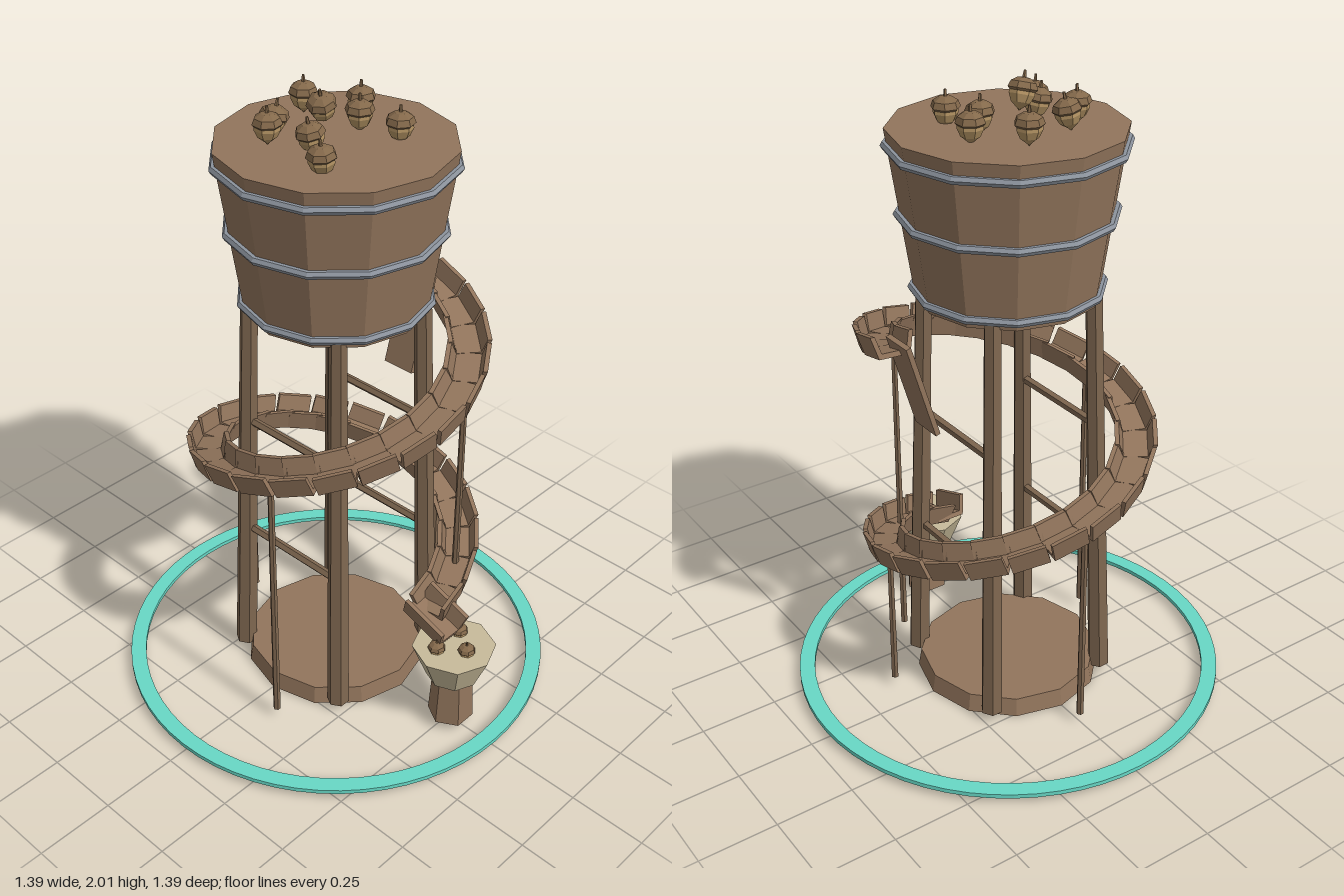
import * as THREE from 'three';

const mat = (color, smooth) => new THREE.MeshStandardMaterial({ color, flatShading: !smooth });
const wood = mat(0x92755c);
const darkWood = mat(0x7f6750);
const steel = mat(0x8d949e);
const stone = mat(0xc8bb9a);
const nutMat = mat(0xb39363);
const capMat = mat(0x84694b);
const teal = mat(0x68d8c6, true);

export function createModel() {
  const model = new THREE.Group();

  const add = (name, geo, material, x = 0, y = 0, z = 0, parent = model) => {
    const mesh = new THREE.Mesh(geo, material);
    mesh.name = name;
    mesh.position.set(x, y, z);
    parent.add(mesh);
    return mesh;
  };

  // Tapered bar between two points
  const strut = (name, a, b, rA, rB, sides, material) => {
    const from = new THREE.Vector3(...a), to = new THREE.Vector3(...b);
    const dir = to.clone().sub(from);
    const mesh = add(name, new THREE.CylinderGeometry(rB, rA, dir.length(), sides), material);
    mesh.position.copy(from).add(to).multiplyScalar(0.5);
    mesh.quaternion.setFromUnitVectors(new THREE.Vector3(0, 1, 0), dir.normalize());
    return mesh;
  };

  // Ground ring and base plate
  const ringProfile = [[0.645, 0.02], [0.695, 0.02], [0.695, 0.034], [0.645, 0.034], [0.645, 0.02]]
    .map(([r, y]) => new THREE.Vector2(r, y));
  const ringGeo = new THREE.LatheGeometry(ringProfile, 64).toNonIndexed();
  ringGeo.computeVertexNormals();
  add('groundRing', ringGeo, teal);
  add('basePlate', new THREE.CylinderGeometry(0.29, 0.3, 0.06, 12), wood, 0, 0.03, 0);

  // Tub with three hoops
  add('tub', new THREE.CylinderGeometry(0.35, 0.275, 0.51, 12), wood, 0, 1.605, 0);
  for (const [y, r] of [[1.81, 0.348], [1.605, 0.319], [1.378, 0.284]]) {
    add('tubHoop', new THREE.TorusGeometry(r, 0.013, 6, 12), steel, 0, y, 0).rotation.x = Math.PI / 2;
  }

  // Four splayed legs and the cross rungs joining them
  for (const sz of [-1, 1]) {
    for (const sx of [-1, 1]) {
      strut('leg', [sx * 0.215, 0.03, sz * 0.215], [sx * 0.18, 1.38, sz * 0.18], 0.036, 0.027, 6, darkWood);
    }
    for (const [y, off] of [[0.515, 0.2], [0.93, 0.19]]) {
      strut('crossRung', [-off, y, sz * off], [off, y, sz * off], 0.014, 0.014, 5, darkWood);
    }
  }

  // Spiral chute: one and a quarter turns of U-shaped troughs
  const trough = (length) => {
    const s = new THREE.Shape();
    [[-0.048, -0.034], [0.048, -0.034], [0.066, 0.034], [0.052, 0.034], [0.038, -0.018],
      [-0.038, -0.018], [-0.052, 0.034], [-0.066, 0.034]]
      .forEach(([x, y], i) => (i ? s.lineTo(x, y) : s.moveTo(x, y)));
    return new THREE.ExtrudeGeometry(s, { depth: length, bevelEnabled: false }).translate(0, 0, -length / 2);
  };
  const radius = 0.395, count = 28, sweep = Math.PI * 2.5;
  const chuteHeight = (a) => 1.285 - 0.178 * a / (Math.PI / 2);
  const chute = new THREE.Group();
  chute.name = 'spiralChute';
  model.add(chute);
  const troughGeo = trough(0.116);
  for (let i = 0; i < count; i++) {
    const a = (i + 0.5) / count * sweep;
    const seg = add('chuteSegment', troughGeo, wood,
      radius * Math.sin(a), chuteHeight(a), -radius * Math.cos(a), chute);
    seg.rotation.set(0.28, Math.PI / 2 - a, 0, 'YXZ');
  }
  add('chuteSpout', trough(0.16), wood, 0.425, 0.385, 0, chute)
    .rotation.set(0.35, Math.PI / 2, 0, 'YXZ');

  // Thin posts carrying the chute
  for (const deg of [60, 165, 270, 375]) {
    const a = THREE.MathUtils.degToRad(deg);
    const x = radius * Math.sin(a), z = -radius * Math.cos(a);
    strut('chutePost', [x, 0.035, z], [x, chuteHeight(a) - 0.025, z], 0.012, 0.01, 6, darkWood);
  }

  // Sloping feed board behind the chute start
  add('feedBoard', new THREE.BoxGeometry(0.112, 0.32, 0.016), wood, 0, 1.137, -0.337).rotation.x = -0.29;

  // Catch bowl on its pedestal
  add('bowlPedestal', new THREE.CylinderGeometry(0.063, 0.073, 0.17, 6), wood, 0.51, 0.115, 0);
  add('catchBowl', new THREE.CylinderGeometry(0.132, 0.085, 0.115, 8), stone, 0.51, 0.255, 0);

  // Acorn: pointed nut, overhanging cap and stem, origin at the cap rim
  const nutGeo = new THREE.LatheGeometry(
    [[0, -0.058], [0.008, -0.05], [0.028, -0.034], [0.038, -0.012], [0.037, 0.004]]
      .map(([r, y]) => new THREE.Vector2(r, y)), 7);
  const capGeo = new THREE.LatheGeometry(
    [[0, -0.004], [0.036, -0.004], [0.044, 0.004], [0.037, 0.022], [0.018, 0.034], [0, 0.036]]
      .map(([r, y]) => new THREE.Vector2(r, y)), 7);
  const stemGeo = new THREE.CylinderGeometry(0.004, 0.006, 0.022, 5);
  const acorn = (x, y, z, scale, turn, tiltX = 0, tiltZ = 0) => {
    const g = new THREE.Group();
    g.name = 'acorn';
    add('acornNut', nutGeo, nutMat, 0, 0, 0, g);
    add('acornCap', capGeo, capMat, 0, 0, 0, g);
    add('acornStem', stemGeo, capMat, 0, 0.044, 0, g);
    g.position.set(x, y, z);
    g.rotation.set(tiltX, turn, tiltZ);
    g.scale.setScalar(scale);
    model.add(g);
  };

  // Heap on the tub
  [
    [-0.065, 1.91, -0.17], [0, 1.91, -0.095], [0.12, 1.9, -0.13],
    [-0.19, 1.92, -0.065], [-0.025, 1.96, 0.03, 0.25, 0.15], [-0.135, 1.915, 0.105, -0.15, 0.1],
    [0.01, 1.91, 0.11, 0.1, -0.1], [-0.105, 1.92, 0.16], [0.11, 1.895, 0.17, 0.1, 0],
  ].forEach(([x, y, z, tx, tz], i) => acorn(x, y, z, 1, i * 0.7, tx, tz));

  // Acorns caught in the bowl
  [[0.485, 0.055], [0.485, -0.055], [0.56, 0]]
    .forEach(([x, z], i) => acorn(x, 0.32, z, 0.65, i * 0.9));

  return model;
}
